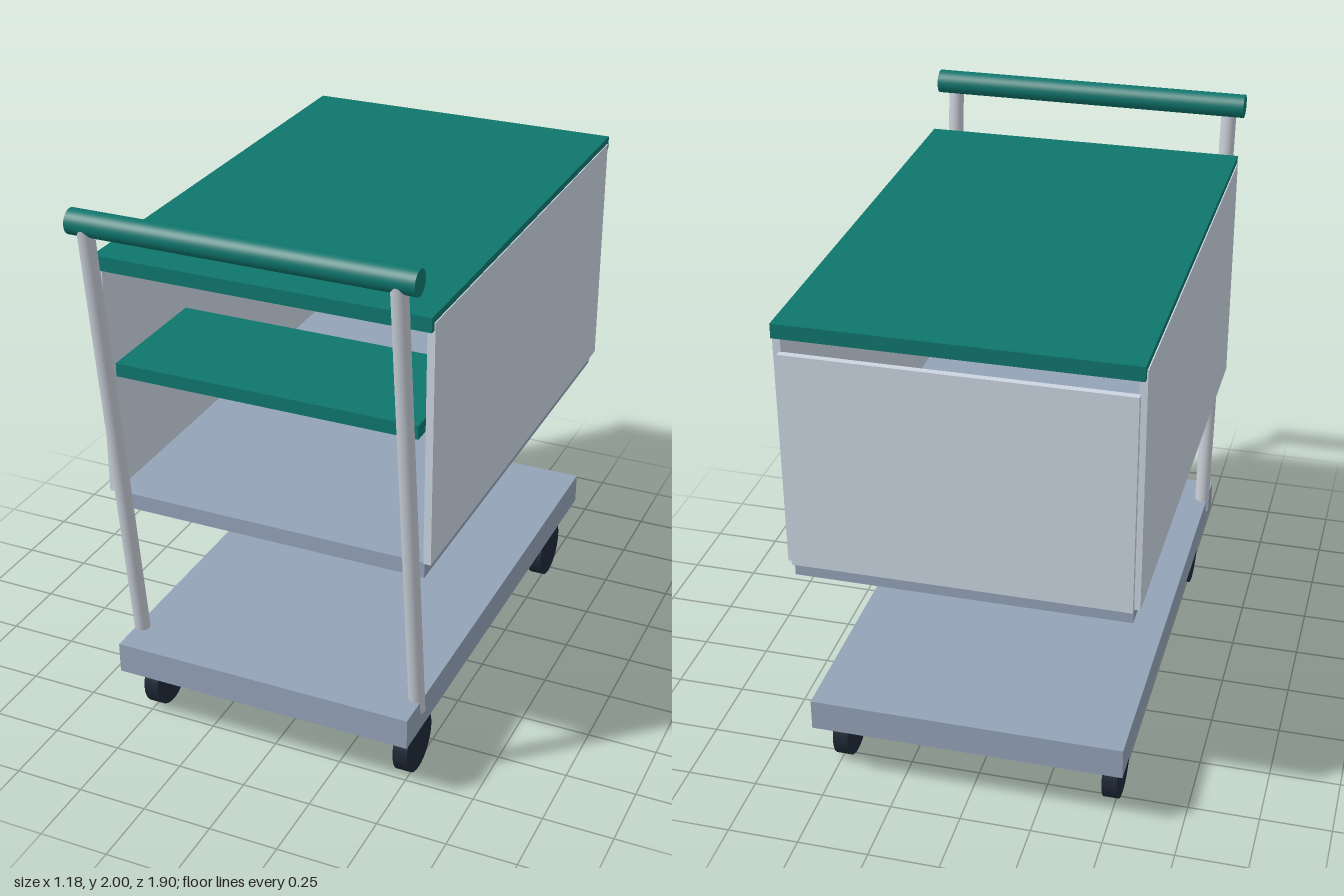
import * as THREE from 'three';

function material(name, color) {
  const m = new THREE.MeshStandardMaterial({ color });
  m.name = name;
  return m;
}

export function createModel() {
  const cart = new THREE.Group();
  cart.name = 'serviceCart';

  const green = material('teal green', 0x0f766e);
  const slate = material('slate grey', 0x94a3b8);
  const panel = material('pale grey', 0xcbd5e1);
  const steel = material('tube grey', 0xc6ccd5);
  const rubber = material('dark rubber', 0x1f2937);

  const add = (name, geometry, mat) => {
    const mesh = new THREE.Mesh(geometry, mat);
    mesh.name = name;
    cart.add(mesh);
    return mesh;
  };

  // Box given by its lower and upper bounds on each axis
  const box = (name, mat, [x0, x1], [y0, y1], [z0, z1]) =>
    add(name, new THREE.BoxGeometry(x1 - x0, y1 - y0, z1 - z0), mat)
      .position.set((x0 + x1) / 2, (y0 + y1) / 2, (z0 + z1) / 2);

  // Round bar between two points
  const bar = (name, mat, a, b, radius) => {
    const dir = b.clone().sub(a);
    const mesh = add(name, new THREE.CylinderGeometry(radius, radius, dir.length(), 32), mat);
    mesh.position.copy(a).add(b).multiplyScalar(0.5);
    mesh.quaternion.setFromUnitVectors(new THREE.Vector3(0, 1, 0), dir.normalize());
  };

  // Lower deck and cabinet, open at the front
  box('lowerDeck', slate, [-0.55, 0.55], [0.232, 0.345], [-0.928, 0.865]);
  box('cabinetFloor', slate, [-0.57, 0.57], [0.868, 0.925], [-0.928, 0.785]);
  box('backPanel', panel, [-0.572, 0.572], [0.92, 1.695], [-0.95, -0.927]);
  box('lid', green, [-0.588, 0.588], [1.75, 1.8], [-0.95, 0.803]);
  box('innerShelf', green, [-0.54, 0.54], [1.365, 1.413], [0.3, 0.78]);

  for (const side of [-1, 1]) {
    const label = side > 0 ? 'left' : 'right';

    // Side panel, slightly proud of the lid
    const xs = [side * 0.566, side * 0.592].sort((a, b) => a - b);
    box(label + 'SidePanel', panel, xs, [0.92, 1.777], [-0.928, 0.785]);

    // Leaning handle post
    bar(label + 'HandlePost', steel,
      new THREE.Vector3(side * 0.53, 0.295, 0.727),
      new THREE.Vector3(side * 0.53, 1.947, 0.921), 0.028);

    // Wheels
    for (const [end, z] of [['Front', 0.662], ['Back', -0.723]]) {
      bar(label + end + 'Wheel', rubber,
        new THREE.Vector3(side * 0.487 - 0.027, 0.111, z),
        new THREE.Vector3(side * 0.487 + 0.027, 0.111, z), 0.111);
    }
  }

  // Push handle
  bar('pushHandle', green,
    new THREE.Vector3(-0.59, 1.957, 0.907), new THREE.Vector3(0.59, 1.957, 0.907), 0.043);

  return cart;
}
